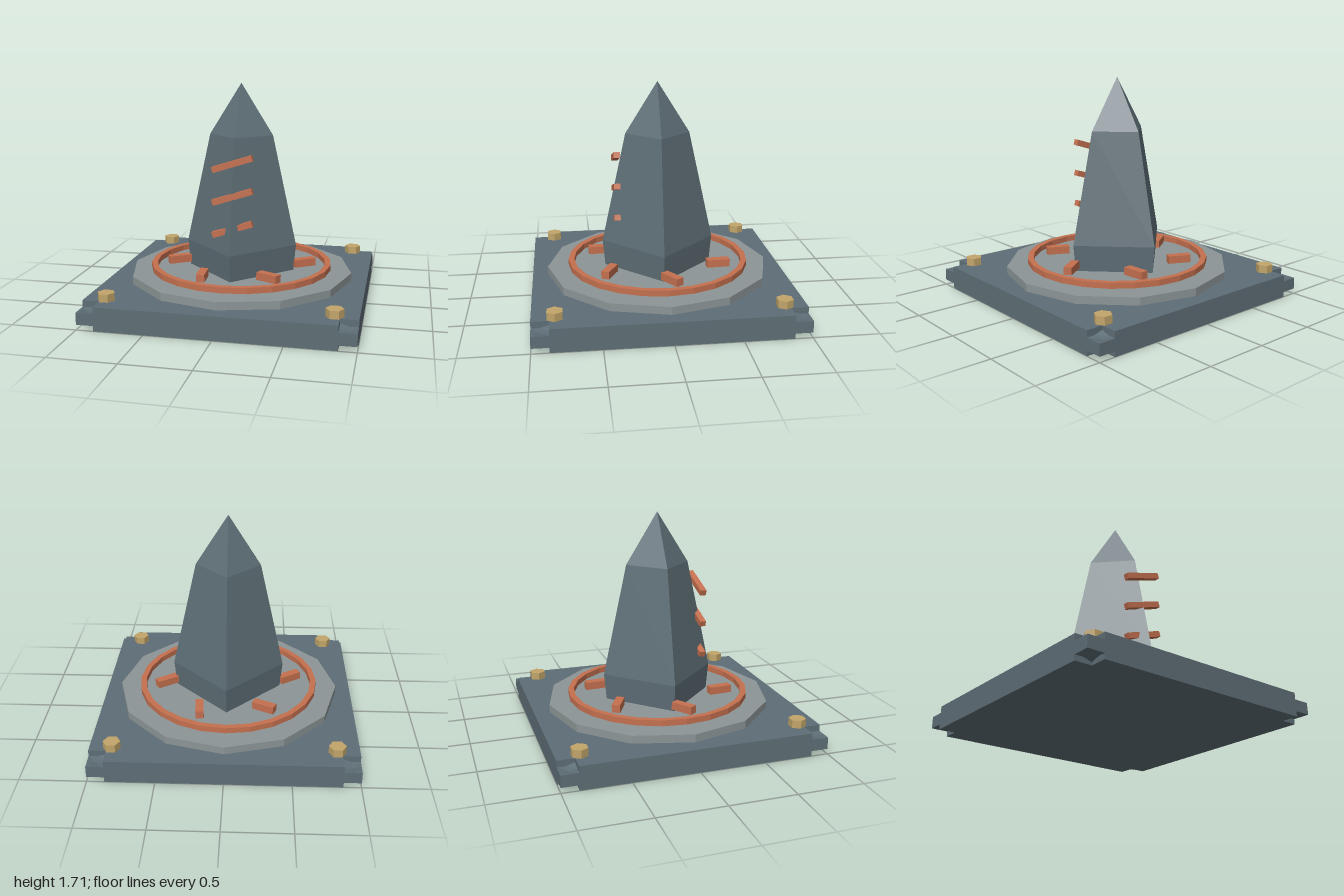
import * as THREE from 'three';

const mat = (color) => new THREE.MeshStandardMaterial({ color, flatShading: true });
const slate = mat(0x5e6e76);
const stone = mat(0x8c9596);
const copper = mat(0xc4704f);
const brass = mat(0xc2a56a);

export function createModel() {
  const model = new THREE.Group();
  const add = (name, geometry, material, x = 0, y = 0, z = 0) => {
    const mesh = new THREE.Mesh(geometry, material);
    mesh.name = name;
    mesh.position.set(x, y, z);
    model.add(mesh);
    return mesh;
  };
  const lathe = (points, sides) =>
    new THREE.LatheGeometry(points.map(([r, y]) => new THREE.Vector2(r, y)), sides).toNonIndexed();

  // Base plate with its four corners cut out
  const inner = 0.87;
  const outline = [];
  for (let i = 0; i < 4; i++) {
    const c = [1, 0, -1, 0][i], s = [0, 1, 0, -1][i];
    for (const [x, y] of [[1, inner], [inner, inner], [inner, 1]]) {
      outline.push(new THREE.Vector2(x * c - y * s, x * s + y * c));
    }
  }
  const plate = new THREE.ExtrudeGeometry(new THREE.Shape(outline), { depth: 0.18, bevelEnabled: false });
  add('basePlate', plate.rotateX(-Math.PI / 2), slate);

  // Chipped corner stubs, thinner than the plate and sloping outwards
  const size = 1 - inner;
  const stub = new THREE.BoxGeometry(size, 0.09, size, 2, 1, 2);
  stub.translate(1 - size / 2, 0.085, 1 - size / 2);
  const p = stub.attributes.position;
  for (let i = 0; i < p.count; i++) {
    const x = p.getX(i), z = p.getZ(i);
    const top = p.getY(i) > 0.085;
    const nearInner = x < 0.9 && z < 0.9;
    const middle = Math.abs(x - 0.935) < 0.01 && Math.abs(z - 0.935) < 0.01;
    if (nearInner) p.setY(i, top ? 0.15 : 0.02);
    else if (middle) p.setY(i, top ? 0.12 : 0.05);
  }
  for (let i = 0; i < 4; i++) {
    add('cornerStub', stub, slate).rotation.y = i * Math.PI / 2;
  }

  // Hexagonal bolts
  const bolt = new THREE.CylinderGeometry(0.065, 0.065, 0.06, 6).rotateY(Math.PI / 6);
  for (const x of [-0.83, 0.83]) {
    for (const z of [-0.83, 0.83]) add('bolt', bolt, brass, x, 0.21, z);
  }

  // Twelve-sided dais
  add('dais', new THREE.CylinderGeometry(0.88, 0.88, 0.065, 12), stone, 0, 0.2075, 0);

  // Raised ring above the dais
  add('ring', lathe([[0.67, 0.25], [0.715, 0.25], [0.715, 0.295], [0.67, 0.295], [0.67, 0.25]], 24), copper);

  // Skewed marker bars inside the ring
  const marker = new THREE.BoxGeometry(0.18, 0.06, 0.064);
  for (let i = 0; i < 6; i++) {
    const a = -0.1 + i * Math.PI / 3;
    const bar = add('markerBar', marker, copper, 0.5 * Math.cos(a), 0.295, 0.5 * Math.sin(a));
    bar.rotation.y = 0.49 - a;
  }

  // Four-sided spire, edges on the axes
  add('spire', lathe([[0, 0.23], [0.42, 0.23], [0.44, 0.445], [0.25, 1.31], [0, 1.71]], 4), slate);

  // Slanted bars across the front edge of the spire
  const slash = new THREE.BoxGeometry(0.32, 0.045, 0.048);
  for (const y of [0.63, 0.88, 1.13]) {
    add('slantedBar', slash, copper, 0, y, 0.328).rotation.z = 0.31;
  }

  return model;
}
